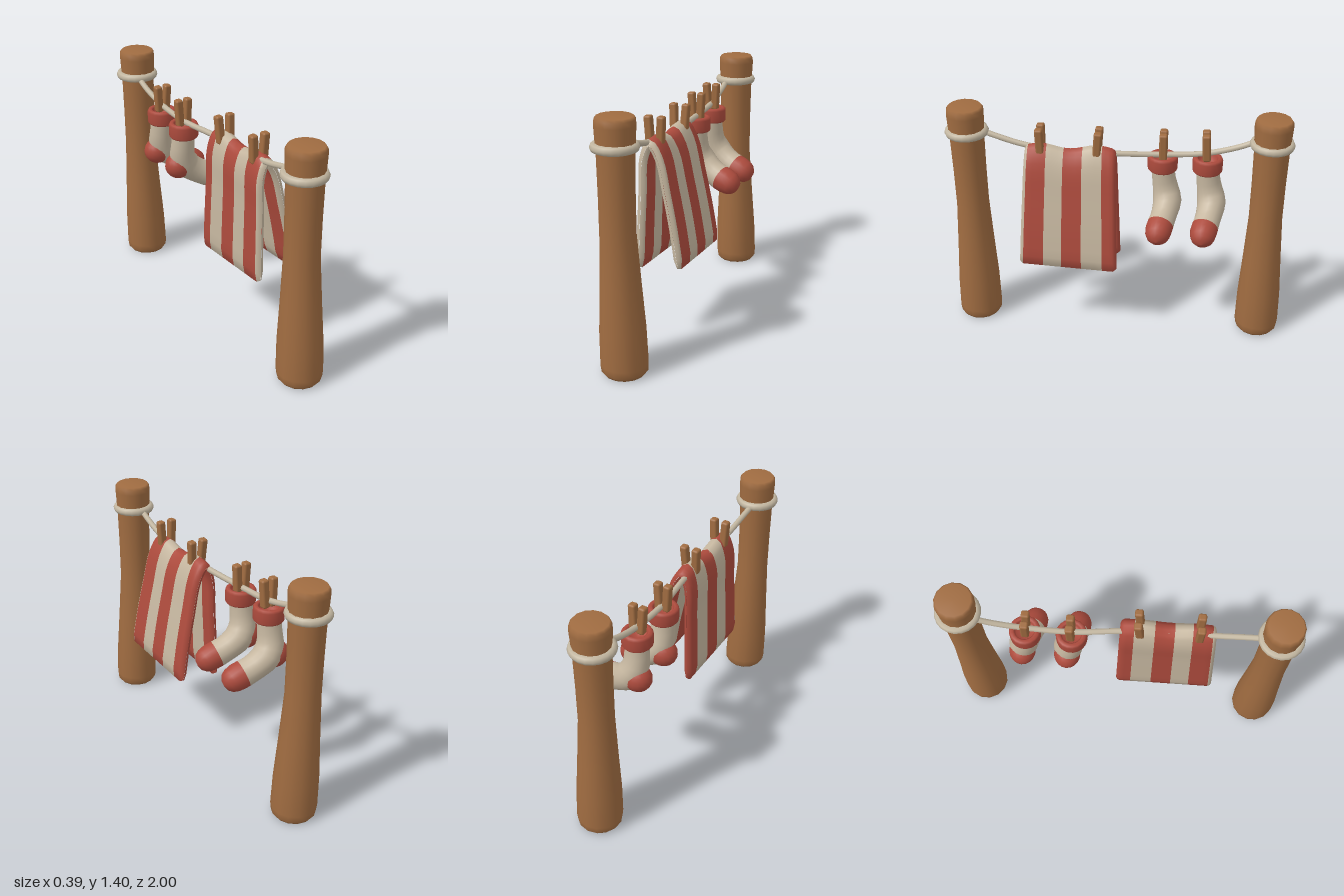
import * as THREE from 'three';
import { RoundedBoxGeometry } from 'three/addons/geometries/RoundedBoxGeometry.js';

const V = (x, y, z) => new THREE.Vector3(x, y, z);

function material(name, color) {
  const m = new THREE.MeshStandardMaterial({ color });
  m.name = name;
  return m;
}

// Skin joining closed rings of points; matOf(i) picks the material between ring i and i + 1
function loft(rings, matOf) {
  const n = rings[0].length, index = [];
  const g = new THREE.BufferGeometry().setFromPoints(rings.flat());
  for (let i = 0; i < rings.length - 1; i++) {
    g.addGroup(index.length, n * 6, matOf(i));
    for (let j = 0; j < n; j++) {
      const k = (j + 1) % n, a = i * n + j, b = i * n + k, c = b + n, d = a + n;
      index.push(a, b, c, a, c, d);
    }
  }
  g.setIndex(index);
  g.computeVertexNormals();
  return g;
}

function postGeometry() {
  const profile = [[0, 0], [0.112, 0], [0.127, 0.02], [0.131, 0.06], [0.127, 0.25], [0.112, 0.5], [0.097, 0.78],
    [0.097, 1.0], [0.1, 1.2], [0.108, 1.36], [0.106, 1.39], [0.095, 1.405], [0, 1.405]];
  const g = new THREE.LatheGeometry(profile.map(p => new THREE.Vector2(...p)), 14);
  // Lean the trunk slightly
  const p = g.attributes.position;
  for (let i = 0; i < p.count; i++) p.setX(i, p.getX(i) - 0.04 - 0.02 * Math.min(1, p.getY(i) / 0.8));
  return g;
}

// Striped towel folded over the rope
function towelGeometry() {
  const line = new THREE.CatmullRomCurve3([
    V(0.137, 0.48, 0), V(0.1, 0.7, 0), V(0.058, 0.9, 0), V(0.012, 1.09, 0), V(-0.04, 1.165, 0),
    V(-0.078, 1.08, 0), V(-0.083, 0.9, 0), V(-0.09, 0.7, 0), V(-0.097, 0.455, 0)]);
  const steps = 32, last = steps;
  const ring = (z, half, inset) => {
    const outer = [], inner = [];
    for (let k = 0; k <= steps; k++) {
      const t = k / steps, p = line.getPoint(t), d = line.getTangent(t);
      const drop = THREE.MathUtils.clamp((1.17 - p.y) / 0.7, 0, 1);
      const h = half * (k === 0 || k === last ? 0.5 : 1);
      // Peaks at the pegs, hem that rises to one side, wider at the bottom
      const lift = 0.014 * Math.cos((z - 0.44) / 0.33 * Math.PI * 2) * Math.max(0, 1 - drop * 4)
        + drop * (z - 0.27) * 0.05;
      const zz = 0.265 + (z - 0.265) * (0.98 + 0.1 * drop) + 0.006 * drop;
      const end = (k === 0 || k === last) ? inset : 0;
      const nx = d.y * h, ny = -d.x * h;
      outer.push(V(p.x + nx, p.y + lift + ny + end, zz));
      inner.unshift(V(p.x - nx, p.y + lift - ny + end, zz));
    }
    return [...outer, ...inner];
  };
  const edges = [0, 0.08, 0.195, 0.305, 0.405, 0.515, 0.535];
  const rings = [ring(0, 0.0005, 0.02), ring(0.006, 0.017, 0.012), ring(0.022, 0.025, 0)];
  const mats = [1, 1];
  for (let s = 0; s < 5; s++) {
    const from = s ? edges[s] : 0.022;
    for (let q = 1; q <= 3; q++) {
      rings.push(ring(from + (edges[s + 1] - from) * q / 3, 0.025, 0));
      mats.push(s % 2 ? 0 : 1);
    }
  }
  rings.push(ring(0.529, 0.017, 0.012), ring(0.535, 0.0005, 0.02));
  mats.push(0, 0);
  return loft(rings, i => mats[i]);
}

// Sock leg and foot: rings of varying radius along a bent path, red at the toe
function sockGeometry() {
  const path = new THREE.CatmullRomCurve3([
    V(-0.09, 1.09, 0), V(-0.092, 1.0, -0.008), V(-0.09, 0.92, -0.022), V(-0.062, 0.855, -0.034),
    V(0, 0.802, -0.022), V(0.055, 0.772, -0.008), V(0.11, 0.75, 0.004), V(0.188, 0.716, 0.012)]);
  const sizes = [[0, 0.066], [0.1, 0.067], [0.2, 0.069], [0.3, 0.074], [0.38, 0.08], [0.45, 0.083], [0.52, 0.08],
    [0.6, 0.076], [0.68, 0.075], [0.76, 0.077], [0.83, 0.077], [0.9, 0.071], [0.95, 0.058], [0.985, 0.035], [1, 0.0005]];
  const rings = sizes.map(([t, r]) => {
    const c = path.getPointAt(t), T = path.getTangentAt(t);
    const N = V(0, 0, 1).addScaledVector(T, -T.z).normalize(), B = T.clone().cross(N);
    return Array.from({ length: 18 }, (_, j) => {
      const a = j / 18 * Math.PI * 2;
      return c.clone().addScaledVector(N, r * Math.cos(a)).addScaledVector(B, r * Math.sin(a));
    });
  });
  return loft(rings, i => (sizes[i][0] >= 0.76 ? 1 : 0));
}

export function createModel() {
  const wood = material('wood', 0xa06c41);
  const cream = material('cream cloth', 0xc6b7a0);
  const red = material('red cloth', 0xad4b3d);
  const ropeMat = material('rope', 0xc2b6a0);
  const model = new THREE.Group();
  model.name = 'clothesline';
  const add = (parent, name, geo, mat, x = 0, y = 0, z = 0) => {
    const m = new THREE.Mesh(geo, mat);
    m.name = name;
    m.position.set(x, y, z);
    parent.add(m);
    return m;
  };

  // Posts with a loop of rope around each
  const post = postGeometry();
  for (const s of [1, -1]) {
    const side = s > 0 ? 'front' : 'back';
    add(model, side + 'Post', post, wood, 0, 0, s * 0.868);
    const loop = add(model, side + 'RopeLoop', new THREE.TorusGeometry(0.102, 0.025, 8, 20), ropeMat, -0.064, 1.249, s * 0.868);
    loop.rotation.x = Math.PI / 2;
  }

  // Sagging rope
  const sag = new THREE.CatmullRomCurve3([
    V(-0.075, 1.25, 0.79), V(-0.065, 1.22, 0.69), V(-0.055, 1.18, 0.53), V(-0.045, 1.155, 0.27),
    V(-0.06, 1.148, 0), V(-0.085, 1.142, -0.25), V(-0.09, 1.16, -0.5), V(-0.095, 1.205, -0.68), V(-0.095, 1.25, -0.79)]);
  add(model, 'rope', new THREE.TubeGeometry(sag, 40, 0.017, 8), ropeMat);

  add(model, 'towel', towelGeometry(), [cream, red]);

  // Socks: leg and foot, heel patch and hollow cuff
  const sockGeo = sockGeometry();
  const heelGeo = new THREE.SphereGeometry(0.08, 18, 12);
  const cuffProfile = [[0.06, 0.008], [0.078, 0], [0.086, 0.01], [0.087, 0.075], [0.08, 0.088], [0.064, 0.09], [0.055, 0.082], [0.05, 0.045], [0, 0.045]];
  const cuffGeo = new THREE.LatheGeometry(cuffProfile.map(p => new THREE.Vector2(...p)), 18);
  [-0.258, -0.515].forEach((z, i) => {
    const sock = new THREE.Group();
    sock.name = 'sock' + (i + 1);
    sock.position.z = z;
    add(sock, 'sockBody', sockGeo, [cream, red]);
    add(sock, 'heel', heelGeo, red, -0.108, 0.852, -0.035).scale.set(1.06, 1, 0.95);
    add(sock, 'cuff', cuffGeo, red, -0.09, 1.047, 0);
    model.add(sock);
  });

  // Clothes pegs: two prongs each
  const prong = new RoundedBoxGeometry(0.044, 0.165, 0.046, 2, 0.012);
  const pegs = [[-0.042, 1.225, 0.44, 0.034, 0.02], [-0.042, 1.218, 0.11, 0.034, -0.08],
    [-0.09, 1.2, -0.26, 0.027, 0], [-0.09, 1.207, -0.505, 0.027, 0.05]];
  pegs.forEach(([x, y, z, gap, tilt], i) => {
    const peg = new THREE.Group();
    peg.name = 'peg' + (i + 1);
    peg.position.set(x, y, z);
    peg.rotation.x = tilt;
    for (const s of [1, -1]) add(peg, 'prong', prong, wood, s * gap, 0, 0).rotation.z = -s * 0.06;
    model.add(peg);
  });
  return model;
}
